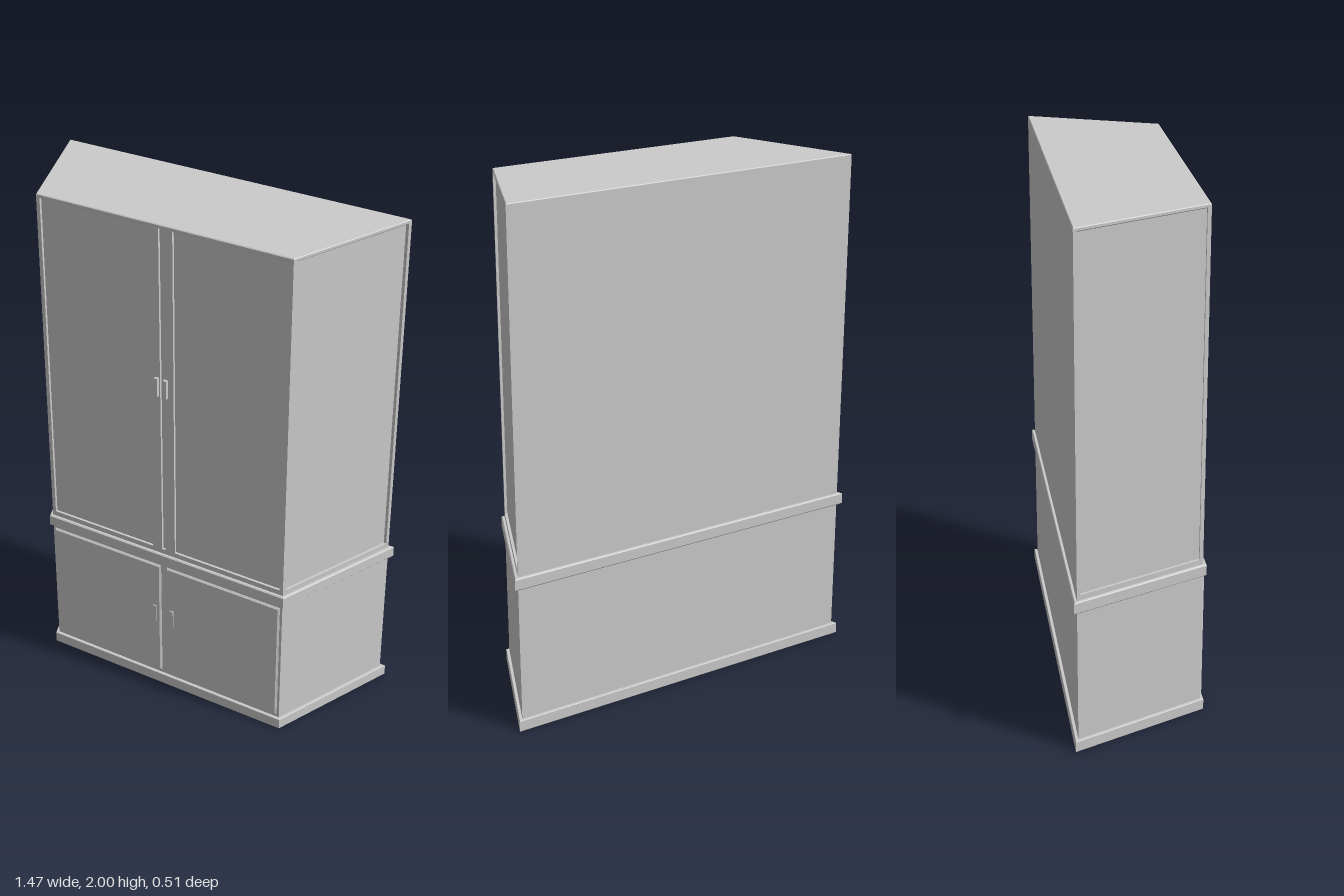
import * as THREE from 'three';

const material = new THREE.MeshStandardMaterial({ color: 0xcccccc, flatShading: true });

// Half width of the tapering cabinet at depth z, grown by an outward offset
const halfWidth = (z, offset = 0) => 0.6175 - 0.398 * z + offset * 1.076;

// Upright prism over a plan outline of [x, z] points
function prism(name, points, y0, y1, bevel = 0) {
  const shape = new THREE.Shape(points.map(([x, z]) => new THREE.Vector2(x, -z)));
  const geometry = new THREE.ExtrudeGeometry(shape, {
    depth: y1 - y0 - 2 * bevel,
    bevelEnabled: bevel > 0,
    bevelSize: bevel,
    bevelThickness: bevel,
    bevelOffset: -bevel,
    bevelSegments: 1,
  });
  geometry.rotateX(-Math.PI / 2);
  geometry.translate(0, y0 + bevel, 0);
  const mesh = new THREE.Mesh(geometry, material);
  mesh.name = name;
  return mesh;
}

// Trapezoid plan between two depths
function plan(back, front, offset = 0) {
  const b = halfWidth(back, offset), f = halfWidth(front, offset);
  return [[-b, back], [-f, front], [f, front], [b, back]];
}

function box(name, x0, x1, y0, y1, z0, z1) {
  const mesh = new THREE.Mesh(new THREE.BoxGeometry(x1 - x0, y1 - y0, z1 - z0), material);
  mesh.position.set((x0 + x1) / 2, (y0 + y1) / 2, (z0 + z1) / 2);
  mesh.name = name;
  return mesh;
}

// Rectangular door leaf with a chamfered front edge
function doorLeaf(x0, x1, y0, y1, z0, z1) {
  const c = 0.006;
  const shape = new THREE.Shape([[x0, y0], [x1, y0], [x1, y1], [x0, y1]].map(p => new THREE.Vector2(...p)));
  const geometry = new THREE.ExtrudeGeometry(shape, {
    depth: z1 - z0 - c, bevelEnabled: true, bevelSize: c, bevelThickness: c, bevelOffset: -c, bevelSegments: 1,
  });
  geometry.translate(0, 0, z0);
  const mesh = new THREE.Mesh(geometry, material);
  mesh.name = 'lowerDoor';
  return mesh;
}

export function createModel() {
  const model = new THREE.Group();
  model.name = 'cabinet';
  const B = -0.245, F = 0.245, R = 0.01;

  // Plinth, lower carcass and waist moulding
  model.add(
    prism('plinth', plan(-0.257, 0.257, 0.012), 0, 0.045, 0.002),
    prism('lowerCarcass', plan(B, F), 0.04, 0.59),
    prism('waistMoulding', plan(-0.257, 0.257, 0.012), 0.583, 0.63, 0.004),
  );

  // Upper carcass: recessed core between full rails
  model.add(
    prism('upperCore', plan(B, F - R, -R), 0.62, 1.99),
    prism('upperBottomRail', plan(B, F), 0.625, 0.65),
    prism('upperTop', plan(B, F), 1.985, 2, 0.003),
  );

  for (const s of [-1, 1]) {
    const mirror = points => {
      const p = points.map(([x, z]) => [s * x, z]);
      return s < 0 ? p.reverse() : p;
    };
    const span = (x0, x1) => (s > 0 ? [x0, x1] : [-x1, -x0]);

    // Corner posts framing the recessed panels
    const zf = F - 0.015, zb = B + 0.012;
    model.add(prism('frontPost', mirror([
      [0.505, F], [halfWidth(F), F], [halfWidth(zf), zf], [halfWidth(zf, -0.02), zf], [0.505, zf],
    ]), 0.64, 1.99));
    model.add(prism('backPost', mirror([
      [halfWidth(B, -0.02), B], [halfWidth(zb, -0.02), zb], [halfWidth(zb), zb], [halfWidth(B), B],
    ]), 0.64, 1.99));

    // Meeting stiles with a narrow groove between them
    model.add(box('meetingStile', ...span(0.007, 0.05), 0.64, 1.99, 0.22, F));

    // Lower doors
    model.add(doorLeaf(...span(0.013, 0.51), 0.06, 0.57, 0.24, 0.253));

    // Handles
    model.add(box('upperHandle', ...span(0.012, 0.026), 1.325, 1.4, 0.24, 0.258));
    model.add(box('lowerHandle', ...span(0.032, 0.046), 0.3, 0.375, 0.25, 0.258));
  }
  return model;
}
